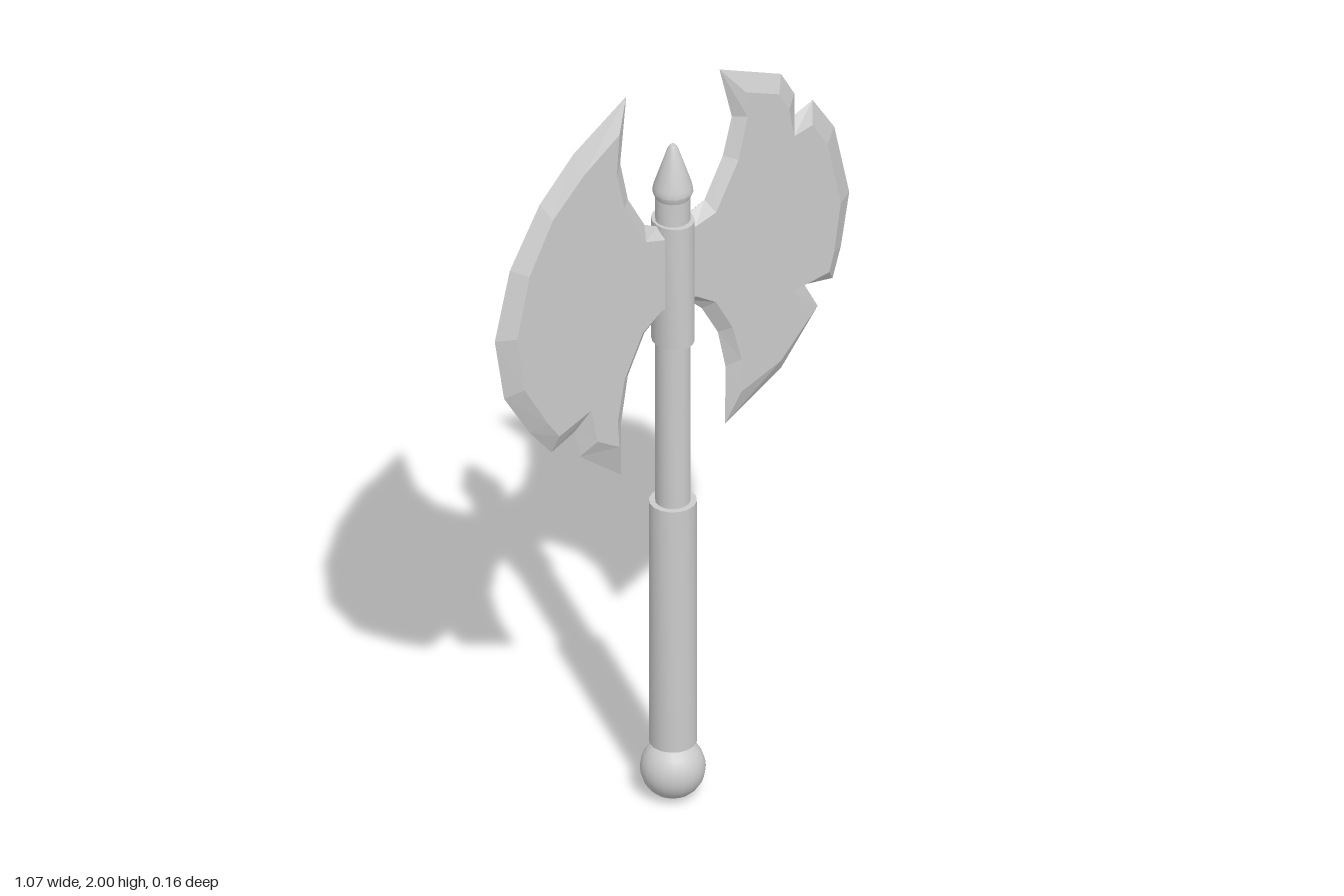
import * as THREE from 'three';
import { toCreasedNormals } from 'three/addons/utils/BufferGeometryUtils.js';

const SIDES = 16;
const HALF = 0.025; // half thickness of the blades

// Sharp outline at z = 0 paired with the inset flat face: [edgeX, edgeY, faceX, faceY]
const leftBlade = [
  [0.02, 1.36, 0.02, 1.38], [0.045, 1.36, 0.05, 1.38], [0.087, 1.32, 0.11, 1.34],
  [0.135, 1.235, 0.16, 1.25], [0.158, 1.13, 0.187, 1.15], [0.157, 0.97, 0.186, 1.06],
  [0.325, 1.06, 0.305, 1.10], [0.435, 1.19, 0.385, 1.18], [0.395, 1.265, 0.345, 1.28],
  [0.48, 1.25, 0.45, 1.29], [0.505, 1.33, 0.465, 1.34], [0.53, 1.47, 0.485, 1.47],
  [0.485, 1.67, 0.445, 1.65], [0.42, 1.77, 0.40, 1.72], [0.365, 1.75, 0.345, 1.71],
  [0.365, 1.81, 0.33, 1.79], [0.325, 1.88, 0.30, 1.845], [0.14, 1.965, 0.20, 1.89],
  [0.177, 1.82, 0.205, 1.82], [0.15, 1.72, 0.178, 1.71], [0.095, 1.62, 0.11, 1.59],
  [0.045, 1.60, 0.05, 1.575], [0.02, 1.60, 0.02, 1.575],
];
const rightBlade = [
  [-0.02, 1.60, -0.02, 1.575], [-0.045, 1.60, -0.05, 1.575], [-0.085, 1.62, -0.10, 1.59],
  [-0.135, 1.71, -0.165, 1.71], [-0.158, 1.82, -0.188, 1.81], [-0.14, 2.0, -0.18, 1.92],
  [-0.30, 1.90, -0.285, 1.85], [-0.40, 1.80, -0.38, 1.76], [-0.49, 1.65, -0.45, 1.63],
  [-0.535, 1.47, -0.487, 1.47], [-0.507, 1.30, -0.465, 1.32], [-0.43, 1.175, -0.395, 1.20],
  [-0.365, 1.095, -0.36, 1.15], [-0.295, 1.125, -0.265, 1.185], [-0.28, 1.05, -0.245, 1.09],
  [-0.155, 0.95, -0.18, 1.05], [-0.155, 1.10, -0.185, 1.12], [-0.135, 1.22, -0.165, 1.23],
  [-0.085, 1.32, -0.11, 1.34], [-0.045, 1.36, -0.05, 1.38], [-0.02, 1.36, -0.02, 1.38],
];

// Double-bevelled blade: two flat faces joined to the sharp outline
function bladeGeometry(outline) {
  const pts = outline.slice();
  if (THREE.ShapeUtils.isClockWise(pts.map(p => new THREE.Vector2(p[0], p[1])))) pts.reverse();
  const faces = THREE.ShapeUtils.triangulateShape(pts.map(p => new THREE.Vector2(p[2], p[3])), []);
  const pos = [];
  for (const side of [1, -1]) {
    const edge = p => [p[0], p[1], 0];
    const face = p => [p[2], p[3], side * HALF];
    const tri = (a, b, c) => pos.push(...(side > 0 ? [...a, ...b, ...c] : [...a, ...c, ...b]));
    faces.forEach(([a, b, c]) => tri(face(pts[a]), face(pts[b]), face(pts[c])));
    pts.forEach((p, i) => {
      const q = pts[(i + 1) % pts.length];
      tri(edge(p), edge(q), face(q));
      tri(edge(p), face(q), face(p));
    });
  }
  const g = new THREE.BufferGeometry();
  g.setAttribute('position', new THREE.Float32BufferAttribute(pos, 3));
  g.computeVertexNormals();
  return g;
}

export function createModel() {
  const group = new THREE.Group();
  const smooth = new THREE.MeshStandardMaterial({ color: 0xcccccc });
  const flat = new THREE.MeshStandardMaterial({ color: 0xcccccc, flatShading: true });

  const add = (name, geometry, material = smooth) => {
    const mesh = new THREE.Mesh(geometry, material);
    mesh.name = name;
    group.add(mesh);
    return mesh;
  };
  // Closed turned part from [radius, y] points, bottom to top
  const turned = (name, profile) => add(name, toCreasedNormals(
    new THREE.LatheGeometry(profile.map(([r, y]) => new THREE.Vector2(r, y)), SIDES), 0.6));
  const rod = (name, r, y0, y1) => turned(name, [[0, y0], [r, y0], [r, y1], [0, y1]]);

  // Handle
  add('pommel', new THREE.SphereGeometry(0.078, 20, 14)).position.y = 0.078;
  rod('grip', 0.057, 0.15, 0.82);
  rod('shaft', 0.042, 0.80, 1.69);

  // Collar holding the blades, slightly deeper than wide
  rod('collar', 0.056, 1.27, 1.605).scale.x = 0.87;

  // Pointed cap
  turned('finial', [[0, 1.665], [0.041, 1.665], [0.049, 1.685], [0.046, 1.70],
    [0.013, 1.80], [0.007, 1.81], [0, 1.81]]);

  // Battle-worn blades
  add('leftBlade', bladeGeometry(leftBlade), flat);
  add('rightBlade', bladeGeometry(rightBlade), flat);

  return group;
}
